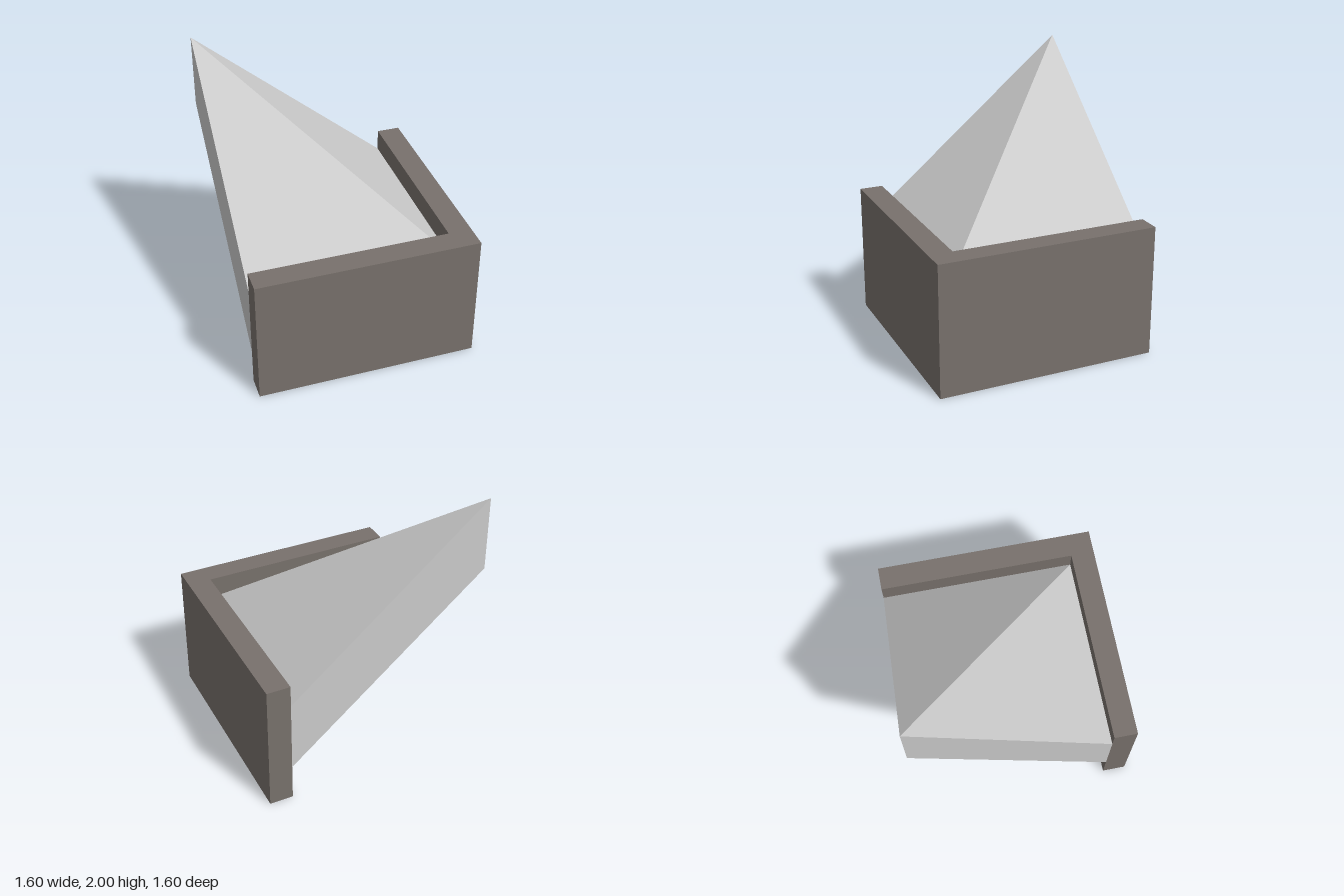
import * as THREE from 'three';

const OUT = 0.8, IN = 0.63;          // outer and inner faces of the wall
const WALL_HEIGHT = 0.96;
const APEX = 2, EAVE = 0.8, THICK = 0.53;

// L-shaped wall standing along the +x and +z sides
function makeWall() {
  const plan = [[-OUT, -OUT], [OUT, -OUT], [OUT, OUT], [IN, OUT], [IN, -IN], [-OUT, -IN]];
  const shape = new THREE.Shape(plan.map(([x, y]) => new THREE.Vector2(x, y)));
  const geometry = new THREE.ExtrudeGeometry(shape, { depth: WALL_HEIGHT, bevelEnabled: false });
  geometry.rotateX(-Math.PI / 2);
  const material = new THREE.MeshStandardMaterial({ color: 0x78716c, flatShading: true });
  const wall = new THREE.Mesh(geometry, material);
  wall.name = 'cornerWall';
  return wall;
}

// Thick hipped roof slab: two slopes meeting on the diagonal, cut plumb all round
function makeRoof() {
  const top = [[-OUT, APEX, -OUT], [-OUT, EAVE, IN], [IN, EAVE, IN], [IN, EAVE, -OUT]];
  const bottom = top.map(([x, y, z]) => [x, y - THICK, z]);
  const points = [];
  const triangle = (a, b, c) => points.push(...a, ...b, ...c);

  // Slopes and matching soffits
  for (const i of [1, 2]) {
    triangle(top[0], top[i], top[i + 1]);
    triangle(bottom[0], bottom[i + 1], bottom[i]);
  }
  // Vertical edge faces
  for (let i = 0; i < 4; i++) {
    const j = (i + 1) % 4;
    triangle(top[i], bottom[i], bottom[j]);
    triangle(top[i], bottom[j], top[j]);
  }

  const geometry = new THREE.BufferGeometry();
  geometry.setAttribute('position', new THREE.Float32BufferAttribute(points, 3));
  geometry.computeVertexNormals();
  const material = new THREE.MeshStandardMaterial({ color: 0xcccccc, flatShading: true });
  const roof = new THREE.Mesh(geometry, material);
  roof.name = 'hipRoofCorner';
  return roof;
}

export function createModel() {
  const model = new THREE.Group();
  model.name = 'roofCorner';
  model.add(makeWall(), makeRoof());
  return model;
}
